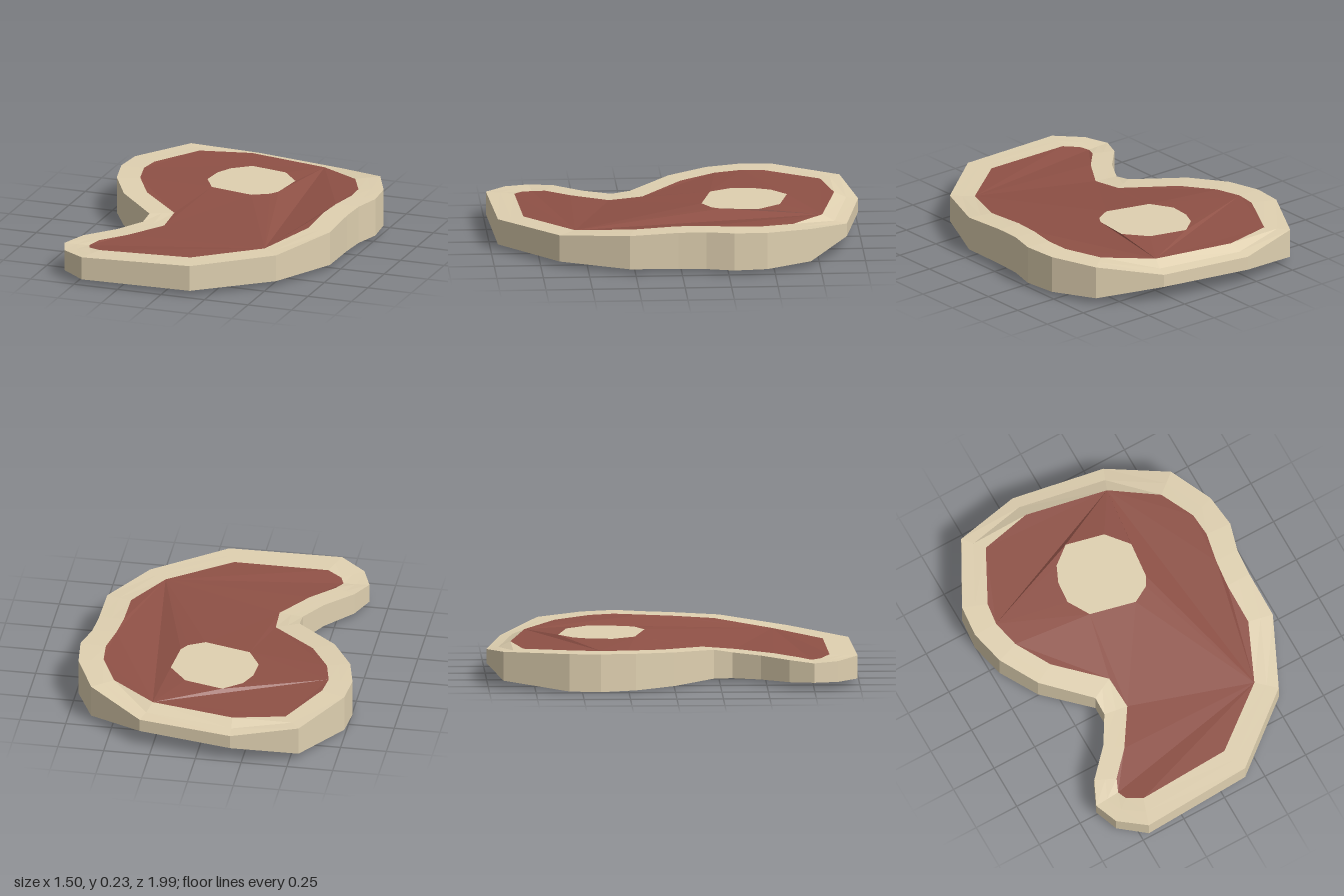
import * as THREE from 'three';

// Rim stations, clockwise from the back: outer x, z, top y, bottom y, meat edge x, z
const RIM = [
  [-0.19, -1.0, 0.16, 0.085, -0.18, -0.87],
  [0.32, -0.91, 0.16, 0.09, 0.27, -0.78],
  [0.62, -0.7, 0.215, 0.035, 0.51, -0.61],
  [0.73, -0.46, 0.227, 0.025, 0.6, -0.42],
  [0.75, -0.28, 0.232, 0.025, 0.61, -0.29],
  [0.71, -0.13, 0.23, 0.025, 0.58, -0.13],
  [0.7, 0.02, 0.226, 0.025, 0.565, 0.02],
  [0.7, 0.28, 0.212, 0.027, 0.565, 0.25],
  [0.53, 0.65, 0.176, 0.03, 0.43, 0.56],
  [0.15, 0.96, 0.167, 0.027, 0.1, 0.82],
  [-0.46, 0.99, 0.155, 0.03, -0.41, 0.84],
  [-0.6, 0.88, 0.145, 0.032, -0.49, 0.79],
  [-0.65, 0.75, 0.14, 0.035, -0.51, 0.74],
  [-0.59, 0.62, 0.15, 0.03, -0.48, 0.67],
  [-0.45, 0.47, 0.155, 0.025, -0.36, 0.54],
  [-0.36, 0.32, 0.16, 0.02, -0.23, 0.34],
  [-0.36, 0.22, 0.175, 0.018, -0.24, 0.16],
  [-0.59, 0.0, 0.195, 0.012, -0.48, -0.06],
  [-0.71, -0.21, 0.206, 0.007, -0.59, -0.25],
  [-0.755, -0.4, 0.21, 0.005, -0.625, -0.4],
  [-0.74, -0.57, 0.21, 0.007, -0.61, -0.52],
  [-0.55, -0.92, 0.197, 0.04, -0.46, -0.81],
];
const BONE = [
  [-0.08, -0.61], [0.13, -0.56], [0.23, -0.44], [0.21, -0.24], [0.18, -0.19],
  [0.09, -0.14], [-0.16, -0.2], [-0.23, -0.32], [-0.22, -0.44], [-0.18, -0.53],
];

const makeMesh = (name, positions, color) => {
  const geo = new THREE.BufferGeometry();
  geo.setAttribute('position', new THREE.Float32BufferAttribute(positions, 3));
  geo.computeVertexNormals();
  const mesh = new THREE.Mesh(geo, new THREE.MeshStandardMaterial({ color, flatShading: true }));
  mesh.name = name;
  return mesh;
};

// Fill a closed ring of Vector3, with optional hole, facing up or down
function cap(ring, up, hole) {
  const flat = (r) => r.map((p) => new THREE.Vector2(p.x, p.z));
  const all = hole ? [...ring, ...hole] : ring;
  const out = [];
  for (const tri of THREE.ShapeUtils.triangulateShape(flat(ring), hole ? [flat(hole)] : [])) {
    const [a, b, c] = tri.map((i) => all[i]);
    const ny = (b.z - a.z) * (c.x - a.x) - (b.x - a.x) * (c.z - a.z);
    for (const p of (ny > 0) === up ? [a, b, c] : [a, c, b]) out.push(p.x, p.y, p.z);
  }
  return out;
}

// Join successive rings into a skin
function skin(rings) {
  const out = [];
  for (let k = 0; k < rings.length - 1; k++) {
    const lo = rings[k], hi = rings[k + 1];
    for (let i = 0; i < lo.length; i++) {
      const j = (i + 1) % lo.length;
      for (const p of [lo[i], hi[i], hi[j], lo[i], hi[j], lo[j]]) out.push(p.x, p.y, p.z);
    }
  }
  return out;
}

export function createModel() {
  const FAT = 0xdfd0b0, MEAT = 0x8f5146;
  const V = (x, y, z) => new THREE.Vector3(x, y, z);

  // Rings of the cut: outer edge, fat crease and meat edge on both sides
  const outerTop = RIM.map(([x, z, t]) => V(x, t, z));
  const outerBottom = RIM.map(([x, z, , b]) => V(x, b, z));
  const meatTop = RIM.map(([, z, t, , ix, iz]) => V(ix, z < -0.8 ? Math.max(t, 0.2) : t, iz));
  const meatBottom = RIM.map(([, z, , b, ix, iz]) => V(ix, z < -0.8 ? Math.min(b, 0.05) : b - 0.004, iz));
  const crease = (outer, inner) => outer.map((p, i) => {
    const q = p.clone().lerp(inner[i], 0.5);
    q.y = THREE.MathUtils.lerp(p.y, inner[i].y, 0.25);
    return q;
  });
  const bone = BONE.map(([x, z]) => V(x, 0.221 + 0.013 * x, z));

  const group = new THREE.Group();
  group.name = 'steak';
  group.add(
    makeMesh('fatRim', skin([
      meatBottom, crease(outerBottom, meatBottom), outerBottom,
      outerTop, crease(outerTop, meatTop), meatTop,
    ]), FAT),
    makeMesh('meatTop', cap(meatTop, true, bone), MEAT),
    makeMesh('meatBottom', cap(meatBottom, false), MEAT),
    makeMesh('bone', cap(bone, true), FAT),
  );
  return group;
}
